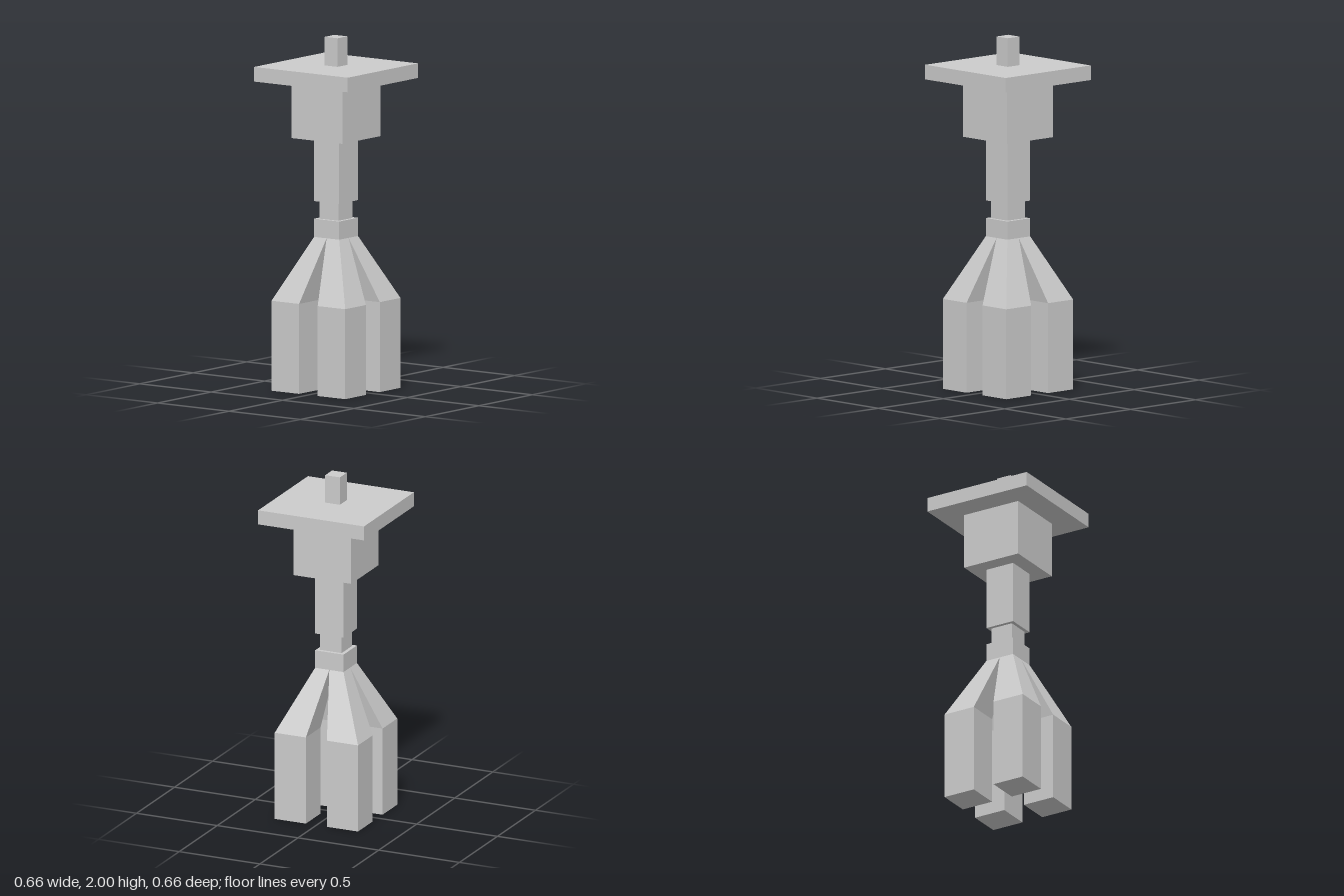
import * as THREE from 'three';

const material = new THREE.MeshStandardMaterial({ color: 0xcccccc, flatShading: true });

// Square block of given half width between two heights
function block(name, half, y0, y1) {
  const mesh = new THREE.Mesh(new THREE.BoxGeometry(half * 2, y1 - y0, half * 2), material);
  mesh.position.y = (y0 + y1) / 2;
  mesh.name = name;
  return mesh;
}

// Leg: straight square post whose upper part tapers inward to one quarter of the collar
function legGeometry() {
  const rows = [
    { y: 0, inner: 0.065, outer: 0.258 },
    { y: 0.51, inner: 0.065, outer: 0.258 },
    { y: 0.867, inner: 0, outer: 0.088 },
  ];
  const box = new THREE.BoxGeometry(2, 2, 2, 1, 2, 1);
  const p = box.attributes.position;
  for (let i = 0; i < p.count; i++) {
    const { y, inner, outer } = rows[Math.round(p.getY(i)) + 1];
    p.setXYZ(i, p.getX(i) > 0 ? outer : inner, y, p.getZ(i) > 0 ? outer : inner);
  }
  const geometry = box.toNonIndexed();
  geometry.computeVertexNormals();
  return geometry;
}

export function createModel() {
  const model = new THREE.Group();
  model.name = 'model';

  // Stacked square column
  model.add(
    block('collar', 0.088, 0.867, 0.97),
    block('neck', 0.067, 0.97, 1.07),
    block('shaft', 0.088, 1.07, 1.43),
    block('head', 0.178, 1.43, 1.755),
    block('plate', 0.328, 1.755, 1.838),
    block('pin', 0.0455, 1.838, 2),
  );

  // Four legs, one at each corner
  const legs = new THREE.Group();
  legs.name = 'legs';
  const geometry = legGeometry();
  for (let i = 0; i < 4; i++) {
    const leg = new THREE.Mesh(geometry, material);
    leg.name = 'leg' + (i + 1);
    leg.rotation.y = (i * Math.PI) / 2;
    legs.add(leg);
  }
  model.add(legs);

  return model;
}
